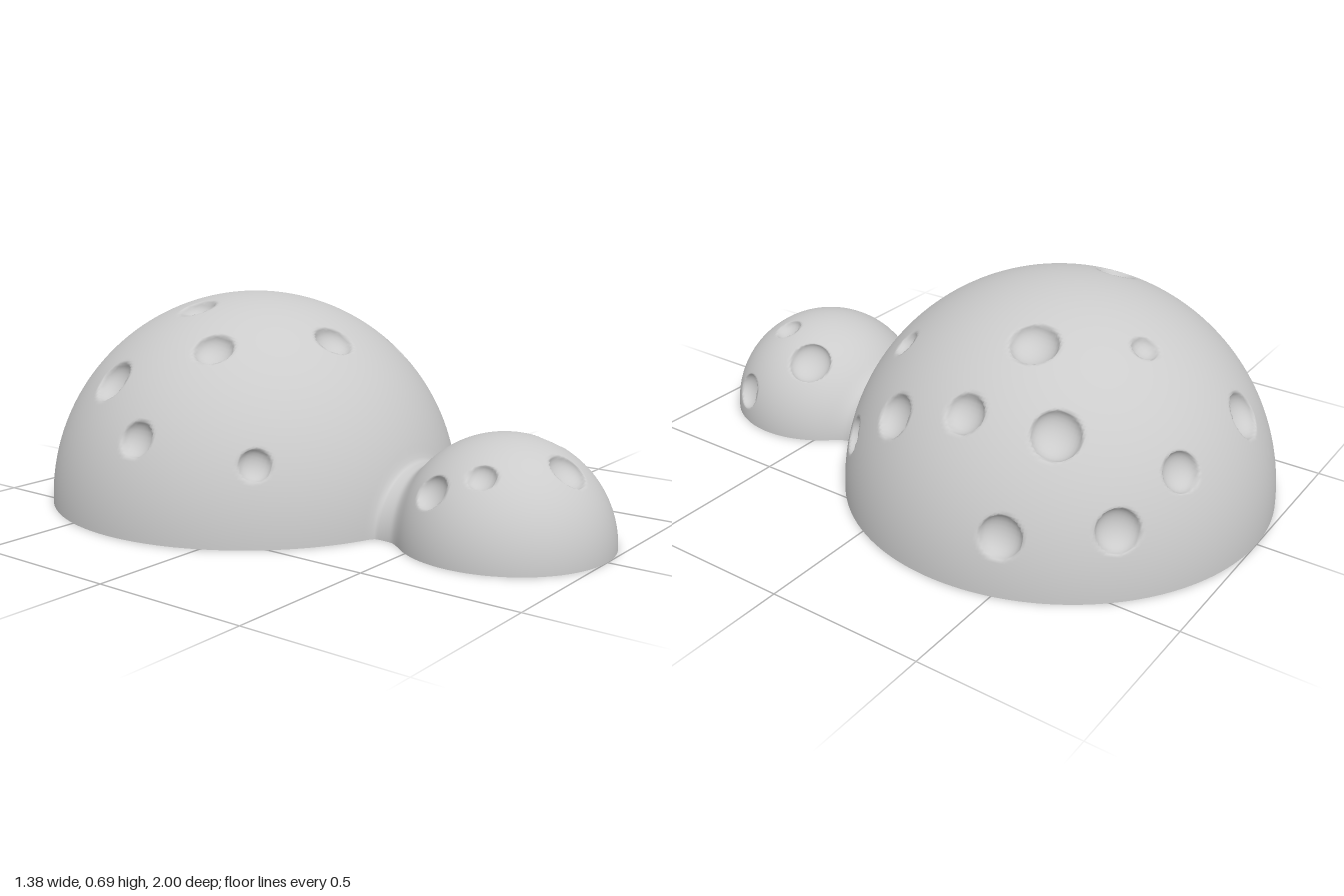
import * as THREE from 'three';

// Two half domes lying along z, open underneath
const BIG = { z: -0.31, r: 0.69 };
const SMALL = { z: 0.67, r: 0.33 };
const NECK_Z = 0.375;

// Dimples as [x, z, radius], their height follows from the dome
const BIG_DIMPLES = [
  [-0.08, -0.89, 0.075], [0.26, -0.86, 0.062], [0.46, -0.78, 0.068], [0.11, -0.65, 0.043],
  [0.46, -0.575, 0.075], [0.635, -0.51, 0.066], [0.305, -0.40, 0.075], [0.52, -0.31, 0.063],
  [-0.51, -0.465, 0.075], [-0.22, -0.365, 0.062], [-0.62, -0.25, 0.06], [-0.38, -0.15, 0.066],
  [0.525, -0.06, 0.072], [-0.07, 0.08, 0.066], [0.31, 0.06, 0.045], [0.46, 0.16, 0.063],
  [-0.49, 0.11, 0.052],
];
const SMALL_DIMPLES = [
  [0.20, 0.575, 0.075], [-0.25, 0.565, 0.058], [-0.215, 0.71, 0.045],
  [0.12, 0.745, 0.048], [-0.02, 0.88, 0.063], [0.285, 0.80, 0.064],
];

function placeDimples(list, dome) {
  return list.map(([x, z, r]) => {
    const dz = z - dome.z;
    const y = Math.sqrt(Math.max(0, dome.r ** 2 - x * x - dz * dz));
    const normal = new THREE.Vector3(x, y, dz).normalize();
    const center = normal.clone().multiplyScalar(dome.r);
    center.z += dome.z;
    return { center, normal, r: r * 0.95 };
  });
}

const circle = (dome, z) => Math.sqrt(Math.max(0, dome.r ** 2 - (z - dome.z) ** 2));

function smoothMax(a, b, k) {
  const h = Math.max(k - Math.abs(a - b), 0) / k;
  return Math.max(a, b) + h * h * k * 0.25;
}

// Radius around the z axis, with a soft waist between the domes
function radiusAt(z, theta) {
  const r = Math.max(circle(BIG, z), circle(SMALL, z));
  const dz = z - NECK_Z;
  if (Math.abs(dz) > 0.12) return r;
  const waist = 0.195 * (1 + 0.12 * Math.cos(theta) ** 2) + 2 * dz * dz;
  return smoothMax(r, waist, 0.025);
}

// Evenly spaced stations along the outline: big dome, neck, small dome
function stations() {
  const zs = [];
  const z0 = 0.335, z1 = 0.43;
  const endBig = Math.acos(-(z0 - BIG.z) / BIG.r);
  const startSmall = Math.acos((z1 - SMALL.z) / SMALL.r);
  for (let i = 0; i < 190; i++) zs.push(BIG.z - BIG.r * Math.cos(endBig * i / 190));
  for (let i = 0; i < 14; i++) zs.push(z0 + (z1 - z0) * i / 14);
  for (let i = 0; i <= 76; i++) zs.push(SMALL.z + SMALL.r * Math.cos(startSmall * (1 - i / 76)));
  return zs;
}

// Press a round bowl into the surface, spreading points evenly over it
function press(p, dimples) {
  for (const { center, normal, r } of dimples) {
    const d = p.clone().sub(center);
    const dist = d.length();
    if (dist >= r) continue;
    const height = d.dot(normal);
    const side = d.addScaledVector(normal, -height).normalize();
    const a = (dist / r) * Math.PI / 2;
    p.copy(center)
      .addScaledVector(side, r * Math.sin(a))
      .addScaledVector(normal, height - 0.7 * r * Math.cos(a));
    return;
  }
}

function shellGeometry() {
  const dimples = [...placeDimples(BIG_DIMPLES, BIG), ...placeDimples(SMALL_DIMPLES, SMALL)];
  const zs = stations();
  const cols = 190;
  const positions = [], indices = [];
  const p = new THREE.Vector3();
  zs.forEach((z, i) => {
    for (let j = 0; j <= cols; j++) {
      const theta = Math.PI * j / cols;
      const r = radiusAt(z, theta);
      p.set(r * Math.cos(theta), j === cols ? 0 : r * Math.sin(theta), z);
      press(p, dimples);
      positions.push(p.x, Math.max(0, p.y), p.z);
      if (i < zs.length - 1 && j < cols) {
        const a = i * (cols + 1) + j, b = a + cols + 1;
        indices.push(a, a + 1, b, a + 1, b + 1, b);
      }
    }
  });
  const geometry = new THREE.BufferGeometry();
  geometry.setAttribute('position', new THREE.Float32BufferAttribute(positions, 3));
  geometry.setIndex(indices);
  geometry.computeVertexNormals();
  return geometry;
}

export function createModel() {
  const group = new THREE.Group();
  group.name = 'dimpledDomes';
  const material = new THREE.MeshStandardMaterial({ color: 0xcccccc, side: THREE.DoubleSide });
  const shell = new THREE.Mesh(shellGeometry(), material);
  shell.name = 'domeShell';
  group.add(shell);
  return group;
}
